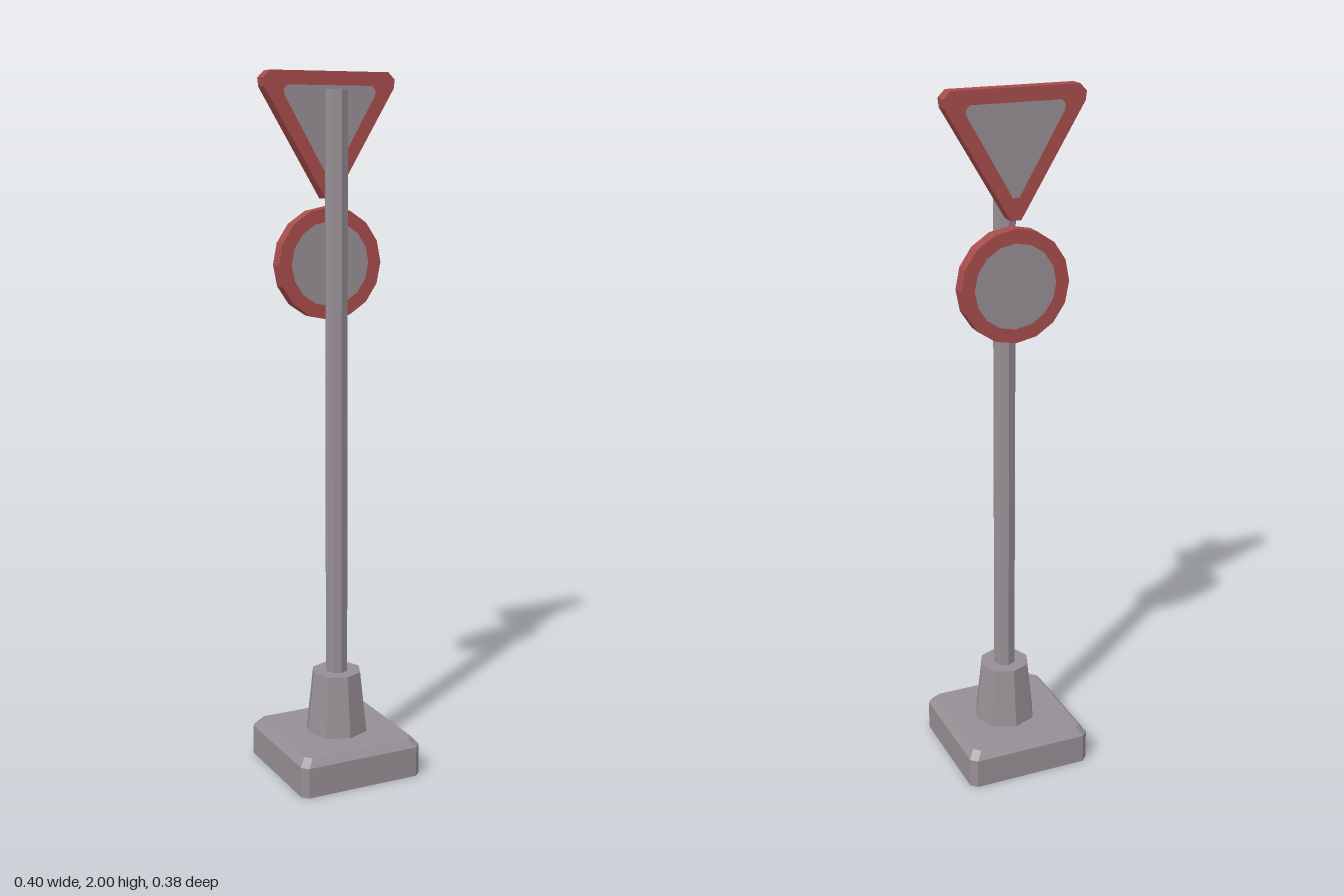
import * as THREE from 'three';

const make = (name, color) => {
  const m = new THREE.MeshStandardMaterial({ color, flatShading: true, side: THREE.DoubleSide });
  m.name = name;
  return m;
};

// Polygon with n corners on a circle
const ngon = (r, n, cx = 0, cy = 0) => Array.from({ length: n }, (_, i) => {
  const a = (i / n) * Math.PI * 2;
  return new THREE.Vector2(cx + r * Math.cos(a), cy + r * Math.sin(a));
});

// Square with cut corners, counter-clockwise
function cutSquare(h, c) {
  const corners = [[1, -1], [1, 1], [-1, 1], [-1, -1]];
  return corners.flatMap(([sx, sy], i) => {
    const p = [[sx * (h - c), sy * h], [sx * h, sy * (h - c)]];
    if (i % 2) p.reverse();
    return p.map(([x, y]) => new THREE.Vector2(x, y));
  });
}

// Open skin through a stack of [outline, height] sections
function loft(sections) {
  const pos = [], index = [], n = sections[0][0].length;
  for (const [ring, y] of sections) for (const p of ring) pos.push(p.x, y, -p.y);
  for (let s = 0; s < sections.length - 1; s++) {
    for (let i = 0; i < n; i++) {
      const a = s * n + i, b = s * n + (i + 1) % n;
      index.push(a, b, b + n, a, b + n, a + n);
    }
  }
  const g = new THREE.BufferGeometry();
  g.setAttribute('position', new THREE.Float32BufferAttribute(pos, 3));
  g.setIndex(index);
  g.computeVertexNormals();
  return g;
}

// Downward triangle with blunted corners
function triangle(w, top, bottom, cut) {
  const half = [[cut * 0.75, bottom], [w - cut * 0.15, top - cut * 2.2], [w, top - cut], [w - cut, top]];
  const left = half.map(([x, y]) => [-x, y]).reverse();
  return [...half, ...left].map(([x, y]) => new THREE.Vector2(x, y));
}

export function createModel() {
  const grey = make('grey metal', 0x968e94);
  const red = make('sign red', 0xa84c4c);
  const model = new THREE.Group();

  const add = (name, geometry, material, parent = model) => {
    const mesh = new THREE.Mesh(geometry, material);
    mesh.name = name;
    parent.add(mesh);
    return mesh;
  };
  const lathe = (pts) => new THREE.LatheGeometry(pts.map(([r, y]) => new THREE.Vector2(r, y)), 8);

  // Hollow foot with chamfered rim and an opening under the collar
  const foot = new THREE.Group();
  foot.name = 'foot';
  foot.position.x = -0.006;
  model.add(foot);
  const inner = cutSquare(0.171, 0.018);
  add('footSides', loft([[cutSquare(0.189, 0.018), 0], [cutSquare(0.189, 0.018), 0.088], [inner, 0.11]]), grey, foot);
  const topShape = new THREE.Shape(inner);
  topShape.holes.push(new THREE.Path(ngon(0.093, 8, 0.006)));
  add('footTop', new THREE.ShapeGeometry(topShape).rotateX(-Math.PI / 2).translate(0, 0.11, 0), grey, foot);

  // Tapered collar and open tube pole
  add('collar', lathe([[0.093, 0.11], [0.073, 0.29], [0.033, 0.29]]), grey);
  add('pole', lathe([[0.033, 0.29], [0.033, 1.95]]), grey);

  // Sign plates: red rim around a flush grey panel
  const back = -0.079, depth = 0.041;
  const extrude = (shape, d, z) =>
    new THREE.ExtrudeGeometry(shape, { depth: d, bevelEnabled: false }).translate(0, 0, z);
  function sign(name, outer, panel) {
    const group = new THREE.Group();
    group.name = name;
    model.add(group);
    const rim = new THREE.Shape(outer);
    rim.holes.push(new THREE.Path(panel));
    add(name + 'Rim', extrude(rim, depth, back), red, group);
    add(name + 'Panel', extrude(new THREE.Shape(panel), depth, back), grey, group);
    return group;
  }
  sign('triangleSign', triangle(0.2, 2, 1.655, 0.02), triangle(0.14, 1.962, 1.715, 0.012));
  const cy = 1.475;
  const round = sign('roundSign', ngon(0.158, 16, 0, cy), ngon(0.119, 16, 0, cy));

  // Thin vehicle pictogram on the back of the round sign
  const plate = (name, pts, hole) => {
    const s = new THREE.Shape(pts);
    if (hole) s.holes.push(new THREE.Path(hole));
    add(name, extrude(s, 0.002, back - 0.001), grey, round);
  };
  const poly = (pts) => pts.map(([x, y]) => new THREE.Vector2(x, cy + y));
  plate('largeWheel', ngon(0.04, 12, -0.035, cy - 0.035), ngon(0.02, 10, -0.035, cy - 0.035));
  plate('smallWheel', ngon(0.022, 10, 0.062, cy - 0.052), ngon(0.01, 8, 0.062, cy - 0.052));
  plate('vehicleBody', poly([[0.01, -0.03], [0.035, -0.045], [0.045, -0.028], [0.085, -0.028],
    [0.085, 0.005], [0.03, 0.005], [0.01, 0.02], [0, 0.01]]));
  plate('vehicleMast', poly([[-0.035, 0.01], [-0.025, 0.01], [-0.022, 0.05], [-0.038, 0.05]]));

  return model;
}
